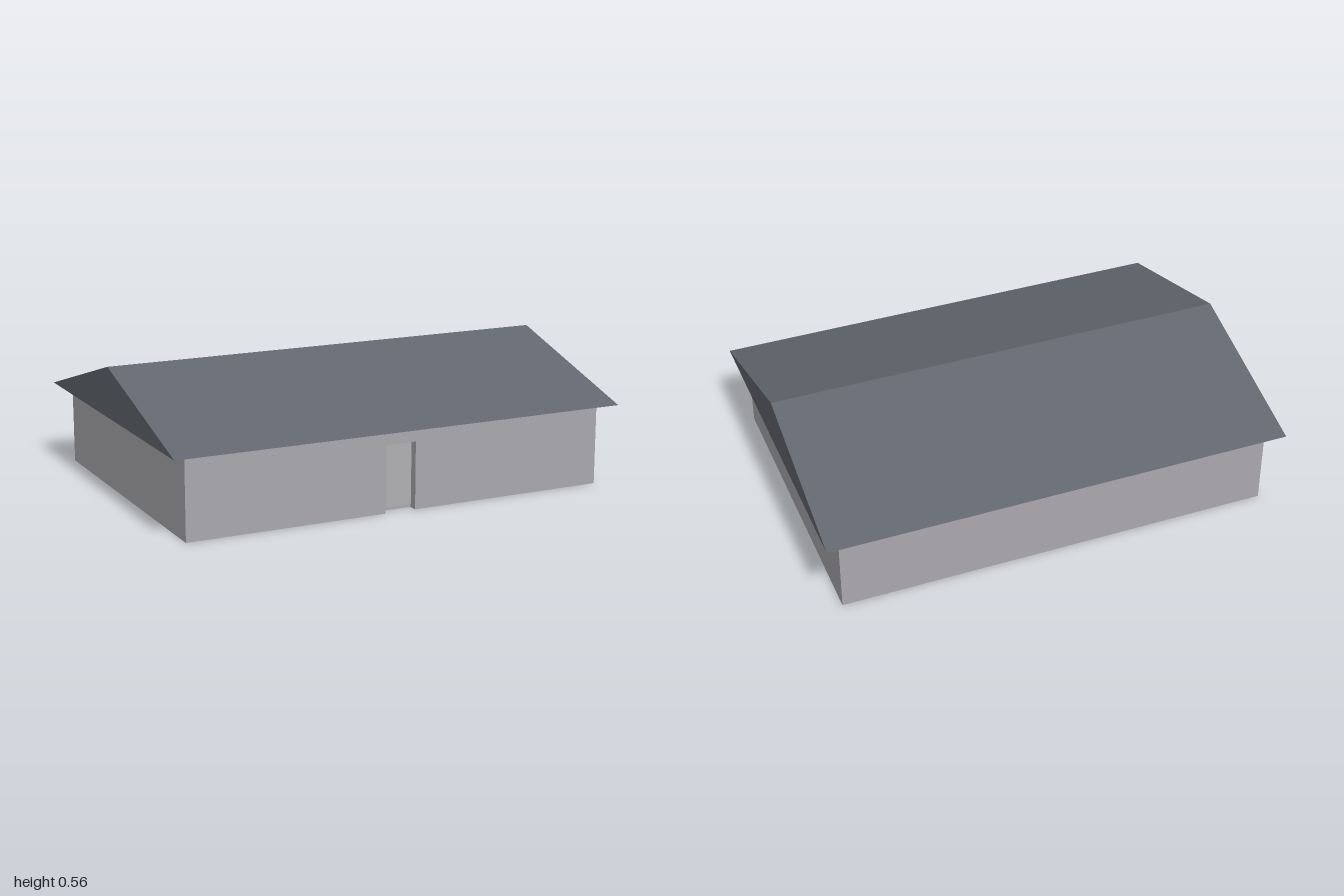
import * as THREE from 'three';

const WALL = { x: 0.935, z: 0.665, top: 0.35 };
const DOOR = { left: -0.07, right: 0.065, bottom: 0.015, top: 0.285, depth: 0.04 };
const ROOF = { x: 1, z: 0.73, ridge: 0.565 };

export function createModel() {
  const model = new THREE.Group();
  const wallPaint = new THREE.MeshStandardMaterial({ color: 0xaaa8ad });
  const roofPaint = new THREE.MeshStandardMaterial({ color: 0x62666e });
  const doorPaint = new THREE.MeshStandardMaterial({ color: 0xb0afb3 });
  wallPaint.name = 'wall grey';
  roofPaint.name = 'roof slate';
  doorPaint.name = 'door grey';

  const add = (name, geometry, material) => {
    const mesh = new THREE.Mesh(geometry, material);
    mesh.name = name;
    model.add(mesh);
    return mesh;
  };
  const outline = (points) => new THREE.Shape(points.map(([x, y]) => new THREE.Vector2(x, y)));

  // Walls: floor plan with a doorway notch in the front edge, raised upright
  const recess = WALL.z - DOOR.depth;
  const plan = outline([
    [-WALL.x, -WALL.z], [DOOR.left, -WALL.z], [DOOR.left, -recess],
    [DOOR.right, -recess], [DOOR.right, -WALL.z], [WALL.x, -WALL.z],
    [WALL.x, WALL.z], [-WALL.x, WALL.z],
  ]);
  const walls = new THREE.ExtrudeGeometry(plan, { depth: WALL.top, bevelEnabled: false });
  walls.rotateX(-Math.PI / 2);
  add('walls', walls, wallPaint);

  // Lintel closing the wall above the doorway
  const doorWidth = DOOR.right - DOOR.left;
  const doorX = (DOOR.right + DOOR.left) / 2;
  const lintel = add('doorLintel',
    new THREE.BoxGeometry(doorWidth, WALL.top - DOOR.top, DOOR.depth), wallPaint);
  lintel.position.set(doorX, (WALL.top + DOOR.top) / 2, WALL.z - DOOR.depth / 2);

  // Door panel at the back of the recess
  const door = add('door',
    new THREE.BoxGeometry(doorWidth, DOOR.top - DOOR.bottom, 0.004), doorPaint);
  door.position.set(doorX, (DOOR.top + DOOR.bottom) / 2, recess + 0.002);

  // Gable roof: solid triangular prism along x
  const gable = outline([[-ROOF.z, WALL.top], [ROOF.z, WALL.top], [0, ROOF.ridge]]);
  const roof = new THREE.ExtrudeGeometry(gable, { depth: ROOF.x * 2, bevelEnabled: false });
  roof.translate(0, 0, -ROOF.x);
  roof.rotateY(Math.PI / 2);
  add('roof', roof, roofPaint);

  return model;
}
